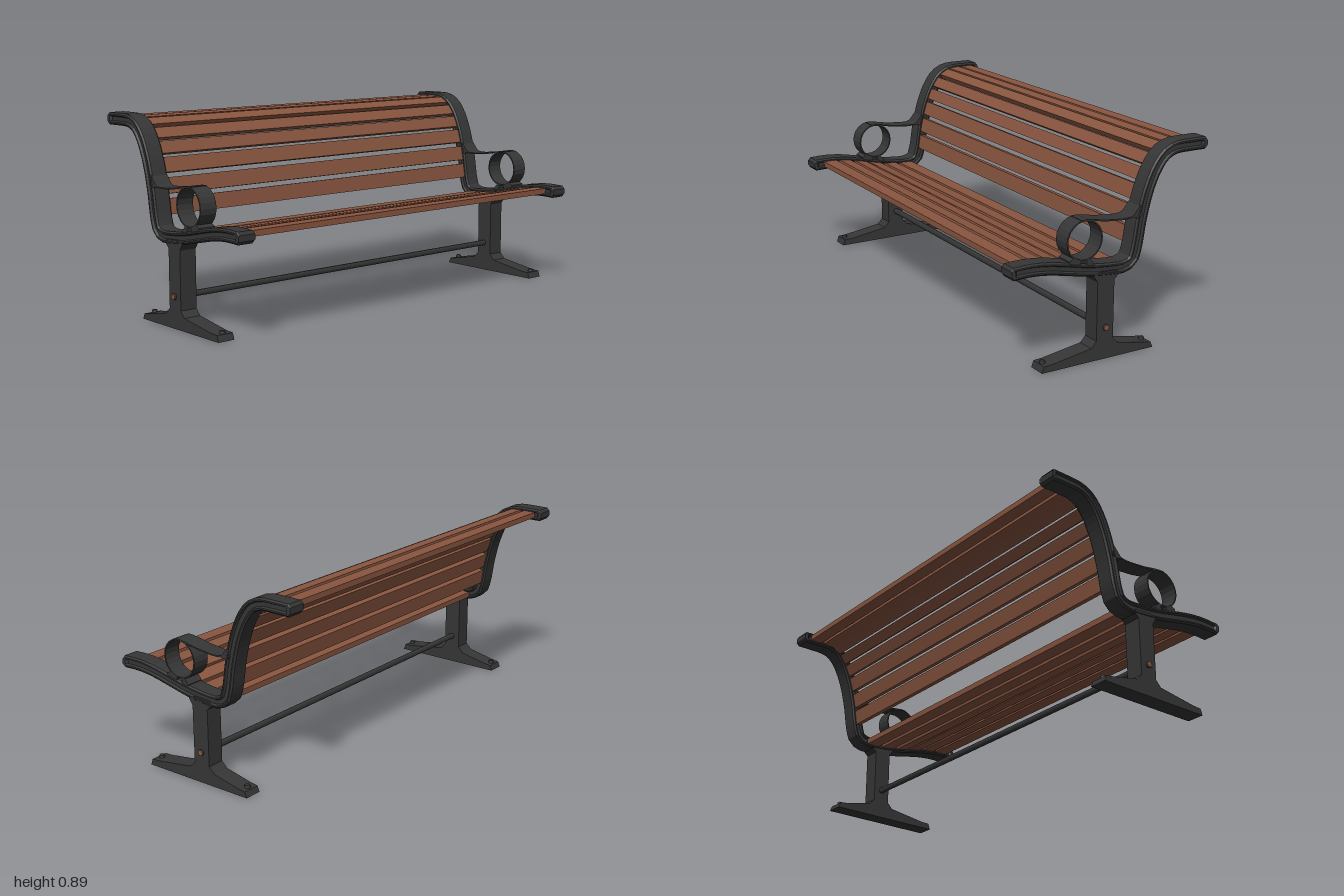
import * as THREE from 'three';

const iron = new THREE.MeshStandardMaterial({ color: 0x363636 });
iron.name = 'cast iron';
const wood = new THREE.MeshStandardMaterial({ color: 0x8a5640 });
wood.name = 'stained wood';

// Centre line of the side frame, as (z, y), from seat front to back top
const path = new THREE.CatmullRomCurve3([
  [0.475, 0.447], [0.38, 0.449], [0.3, 0.441], [0.2, 0.421], [0.1, 0.4], [0, 0.388],
  [-0.07, 0.387], [-0.11, 0.405], [-0.128, 0.45], [-0.15, 0.575], [-0.18, 0.69],
  [-0.22, 0.78], [-0.265, 0.835], [-0.315, 0.857], [-0.39, 0.86], [-0.475, 0.859],
].map(([z, y]) => new THREE.Vector3(0, y, z)), false, 'centripetal');

const SIDE_X = 0.95, HALF_W = 0.042, HALF_T = 0.027;

// Chamfered cross-section with a groove of depth g on both faces
function section(s, g) {
  const w = HALF_W, c = 0.007;
  const right = [
    [w - c, -HALF_T], [w, -HALF_T + c], [w, -0.014], [w - g, -0.009],
    [w - g, 0.009], [w, 0.014], [w, HALF_T - c], [w - c, HALF_T],
  ];
  const left = right.map(([x, n]) => [-x, n]).reverse();
  return [...right, ...left].map(([x, n]) => [x, n * s]);
}

// Sweeps the cross-section along the centre line with flat facets
function sweptBand() {
  const stations = [[0, 0.5, 0], [0.008, 1, 0], [0.013, 1, 0], [0.02, 1, 0.01]];
  for (let i = 1; i < 40; i++) stations.push([0.02 + 0.96 * i / 40, 1, 0.01]);
  stations.push([0.98, 1, 0.01], [0.987, 1, 0], [0.992, 1, 0], [1, 0.5, 0]);
  const rings = stations.map(([u, s, g]) => {
    const p = path.getPointAt(u), t = path.getTangentAt(u);
    return section(s, g).map(([x, n]) => [x, p.y - t.z * n, p.z + t.y * n]);
  });
  const pos = [];
  const tri = (a, b, c) => pos.push(...a, ...b, ...c);
  const count = rings[0].length;
  for (let i = 0; i < rings.length - 1; i++) {
    for (let j = 0; j < count; j++) {
      const k = (j + 1) % count;
      const a = rings[i][j], b = rings[i][k], c = rings[i + 1][k], d = rings[i + 1][j];
      tri(a, d, b);
      tri(d, c, b);
    }
  }
  const first = rings[0], last = rings[rings.length - 1];
  for (let j = 1; j < count - 1; j++) {
    tri(first[0], first[j], first[j + 1]);
    tri(last[0], last[j + 1], last[j]);
  }
  const geo = new THREE.BufferGeometry();
  geo.setAttribute('position', new THREE.Float32BufferAttribute(pos, 3));
  geo.computeVertexNormals();
  return geo;
}

// Extrudes a (z, y) outline across x, centred on x = 0
function plate(points, width, hole) {
  const shape = new THREE.Shape(points.map(([z, y]) => new THREE.Vector2(z, y)));
  if (hole) shape.holes.push(new THREE.Path(hole.map(([z, y]) => new THREE.Vector2(z, y))));
  const geo = new THREE.ExtrudeGeometry(shape, { depth: width, bevelEnabled: false });
  return geo.translate(0, 0, -width / 2).rotateY(-Math.PI / 2);
}

function circle(z, y, r, n) {
  return Array.from({ length: n }, (_, i) => {
    const a = (i / n) * Math.PI * 2;
    return [z + r * Math.cos(a), y + r * Math.sin(a)];
  });
}

function add(parent, name, geo, mat) {
  const mesh = new THREE.Mesh(geo, mat);
  mesh.name = name;
  parent.add(mesh);
  return mesh;
}

function sideFrame() {
  const g = new THREE.Group();
  add(g, 'seatAndBackFrame', sweptBand(), iron);

  // Column with splayed foot
  add(g, 'leg', plate([
    [0.33, 0], [0.32, 0.028], [0.28, 0.03], [0.09, 0.058], [0.065, 0.085], [0.065, 0.342],
    [0.085, 0.372], [0.05, 0.385], [-0.03, 0.38], [-0.04, 0.362], [-0.018, 0.342],
    [-0.018, 0.085], [-0.045, 0.058], [-0.18, 0.03], [-0.215, 0.025], [-0.225, 0],
  ], 0.08), iron);

  // Floor bolts
  for (const z of [0.303, -0.195]) {
    add(g, 'footBolt', new THREE.CylinderGeometry(0.011, 0.015, 0.018, 8).translate(0, 0.031, z), iron);
  }

  // Ring armrest and its strap to the back
  add(g, 'armRing', plate(circle(0.132, 0.533, 0.087, 22), 0.08, circle(0.132, 0.533, 0.081, 22)), iron);
  const strap = [[0.15, 0.617], [0.1, 0.613], [0.03, 0.6], [-0.05, 0.592], [-0.09, 0.592], [-0.115, 0.602], [-0.145, 0.632]];
  const upper = strap.map(([z, y]) => [z, y + 0.003]);
  const lower = strap.map(([z, y]) => [z, y - 0.003]).reverse();
  add(g, 'armStrap', plate([...upper, ...lower], 0.08), iron);

  // Small wedges where the armrest meets the frame
  const wedges = [
    [[0.205, 0.44], [0.205, 0.455], [0.185, 0.466], [0.15, 0.449], [0.15, 0.43]],
    [[0.12, 0.425], [0.12, 0.449], [0.105, 0.451], [0.085, 0.428], [0.085, 0.415]],
    [[-0.1, 0.593], [-0.14, 0.64], [-0.15, 0.6], [-0.135, 0.583]],
  ];
  for (const w of wedges) add(g, 'armWedge', plate(w, 0.08), iron);
  return g;
}

export function createModel() {
  const model = new THREE.Group();
  model.name = 'bench';

  for (const side of [1, -1]) {
    const frame = sideFrame();
    frame.name = side > 0 ? 'leftSide' : 'rightSide';
    frame.position.x = side * SIDE_X;
    model.add(frame);
    // Wood-coloured cap on the end of the tie rod
    const cap = new THREE.CylinderGeometry(0.014, 0.014, 0.002, 6).rotateZ(Math.PI / 2);
    add(model, 'rodCap', cap.translate(side * 0.999, 0.14, 0.022), wood);
  }
  add(model, 'tieRod', new THREE.CylinderGeometry(0.014, 0.014, 1.996, 6).rotateZ(Math.PI / 2)
    .translate(0, 0.14, 0.022), iron);

  // Slats as [z, y, width], snapped to the centre line and tilted along it
  const slats = [
    [0.388, 0.449, 0.066], [0.305, 0.441, 0.064], [0.222, 0.426, 0.068], [0.14, 0.408, 0.07],
    [0.05, 0.394, 0.07], [-0.04, 0.387, 0.07], [-0.136, 0.497, 0.07], [-0.152, 0.585, 0.07],
    [-0.175, 0.672, 0.067], [-0.202, 0.742, 0.056], [-0.235, 0.8, 0.052],
    [-0.28, 0.843, 0.052], [-0.335, 0.858, 0.055], [-0.407, 0.86, 0.06],
  ];
  for (const [z, y, width] of slats) {
    const target = new THREE.Vector3(0, y, z);
    let best = 0, bestDist = Infinity;
    for (let u = 0; u <= 1; u += 0.0025) {
      const d = path.getPointAt(u).distanceTo(target);
      if (d < bestDist) { best = u; bestDist = d; }
    }
    const t = path.getTangentAt(best);
    const slat = add(model, y < 0.46 ? 'seatSlat' : 'backSlat', new THREE.BoxGeometry(1.82, 0.026, width), wood);
    slat.position.copy(path.getPointAt(best));
    slat.rotation.x = Math.atan2(t.y, -t.z);
  }
  return model;
}
